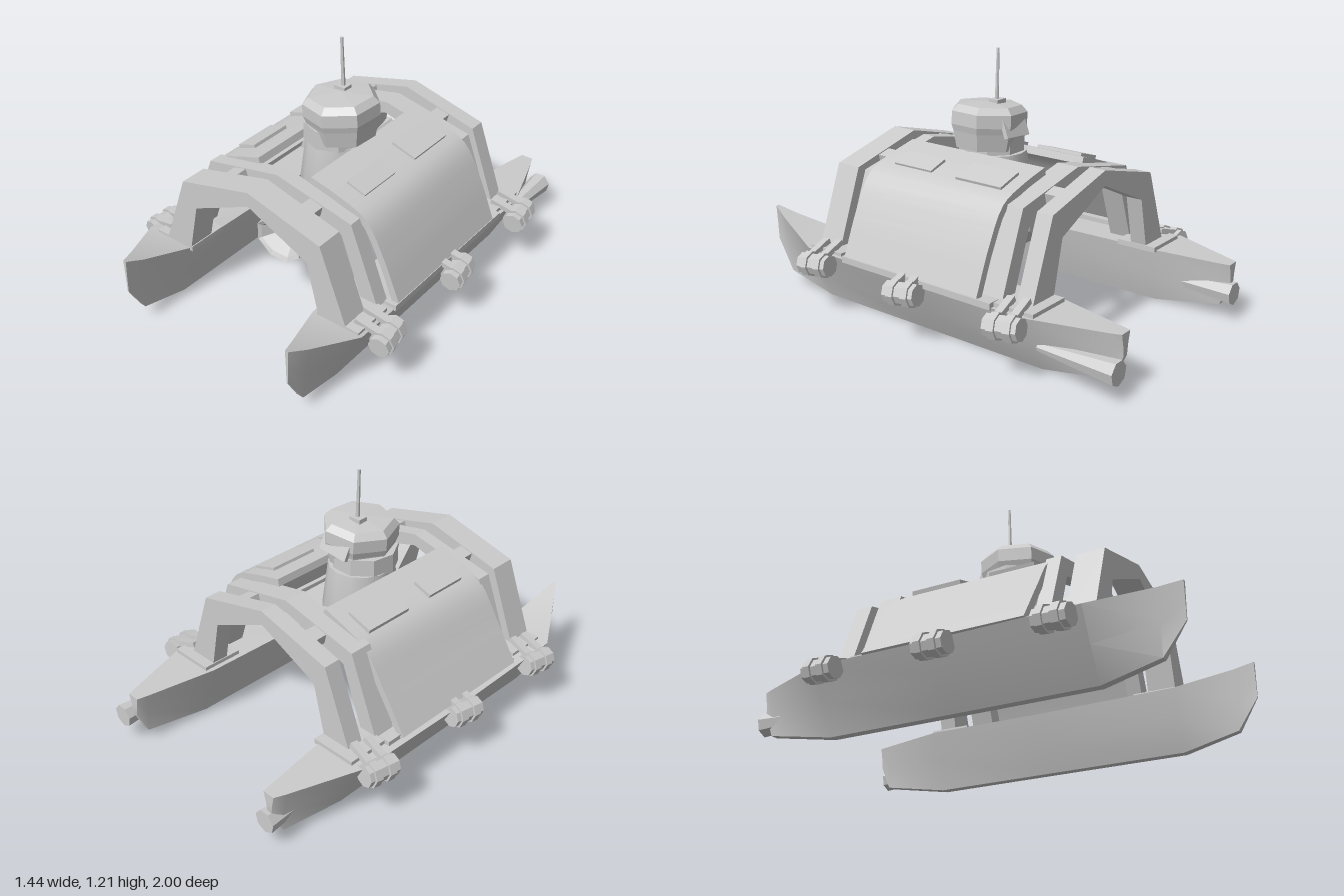
import * as THREE from 'three';
import { toCreasedNormals } from 'three/addons/utils/BufferGeometryUtils.js';

const flat = new THREE.MeshStandardMaterial({ color: 0xcccccc, flatShading: true, side: THREE.DoubleSide });
const smooth = new THREE.MeshStandardMaterial({ color: 0xcccccc, side: THREE.DoubleSide });

// Skin a list of equal-length rings, capping both ends
function loft(rings) {
  const pos = [];
  const tri = (...pts) => pts.forEach((p) => pos.push(...p));
  const centre = (ring) => [0, 1, 2].map((k) => ring.reduce((s, p) => s + p[k], 0) / ring.length);
  const n = rings[0].length, last = rings[rings.length - 1];
  for (let j = 0; j < n; j++) {
    const k = (j + 1) % n;
    for (let i = 0; i < rings.length - 1; i++) {
      const a = rings[i], b = rings[i + 1];
      tri(a[j], a[k], b[k]);
      tri(a[j], b[k], b[j]);
    }
    tri(centre(rings[0]), rings[0][k], rings[0][j]);
    tri(centre(last), last[j], last[k]);
  }
  const g = new THREE.BufferGeometry();
  g.setAttribute('position', new THREE.Float32BufferAttribute(pos, 3));
  g.computeVertexNormals();
  return g;
}

// Extrude an x/y outline between two z planes
function slab(points, z0, z1) {
  const shape = new THREE.Shape(points.map(([x, y]) => new THREE.Vector2(x, y)));
  return new THREE.ExtrudeGeometry(shape, { depth: z1 - z0, bevelEnabled: false }).translate(0, 0, z0);
}

function lathe(profile, segments) {
  return new THREE.LatheGeometry(profile.map(([r, y]) => new THREE.Vector2(r, y)), segments);
}

function add(parent, name, geometry, material = flat) {
  const mesh = new THREE.Mesh(geometry, material);
  mesh.name = name;
  parent.add(mesh);
  return mesh;
}

function box(parent, name, size, at, rotZ = 0) {
  const mesh = add(parent, name, new THREE.BoxGeometry(...size));
  mesh.position.set(...at);
  mesh.rotation.z = rotZ;
  return mesh;
}

// Slim V-shaped float with a raised bow and tapered stern
function hullGeometry(cx, keelX, bowX, sternX) {
  const stations = [ // z, half width, top, bottom, deck centre
    [-0.98, 0.03, 0.27, 0.17, sternX],
    [-0.93, 0.045, 0.27, 0.06, cx + (sternX - cx) * 0.85],
    [-0.6, 0.13, 0.275, 0, cx],
    [0, 0.135, 0.27, 0, cx],
    [0.66, 0.13, 0.28, 0, cx],
    [0.91, 0.042, 0.355, 0.07, cx + (bowX - cx) * 0.75],
    [1, 0.008, 0.39, 0.22, bowX],
  ];
  const rings = stations.map(([z, w, top, low, x]) => {
    const mid = (low + top) / 2, keel = Math.min(0.02, w * 0.4);
    const kx = THREE.MathUtils.lerp(x, keelX, w / 0.13), mx = (x + kx) / 2;
    return [
      [x + w, top, z], [x - w, top, z], [mx - w * 0.62, mid, z],
      [kx - keel, low, z], [kx + keel, low, z], [mx + w * 0.62, mid, z],
    ];
  });
  return toCreasedNormals(loft(rings), 0.5);
}

// Full-width arch from the outer and inner half outlines
function archGeometry(outer, inner, z0, z1) {
  const flip = ([x, y]) => [-x, y];
  return slab([...outer.slice(1).reverse().map(flip), ...outer, ...inner.slice(1).reverse(), ...inner.slice(0, 1), ...inner.slice(1).map(flip)], z0, z1);
}

// Curved shell that spans one side between the arches
function panelGeometry(profile) {
  const curve = new THREE.CatmullRomCurve3(profile.map(([x, y]) => new THREE.Vector3(x, y, 0)));
  const top = [], under = [];
  for (let i = 0; i <= 14; i++) {
    const p = curve.getPoint(i / 14), t = curve.getTangent(i / 14);
    top.push([p.x, p.y]);
    under.unshift([p.x + t.y * 0.035, p.y - t.x * 0.035]);
  }
  return toCreasedNormals(slab([...top, ...under], -0.36, 0.41), 0.6);
}

// Canister with band straps, held to the outside of a hull
function clamp(parent, side, z, armLength) {
  const g = new THREE.Group();
  g.name = 'sideClamp';
  const drum = (name, r, length, dz) => {
    const mesh = add(g, name, new THREE.CylinderGeometry(r, r, length, 8).rotateX(Math.PI / 2));
    mesh.position.z = dz;
  };
  drum('canister', 0.05, 0.16, 0);
  for (const dz of [-0.04, 0.035]) {
    drum('strap', 0.06, 0.035, dz);
    box(g, 'strapArm', [armLength, 0.025, 0.035], [-armLength / 2, 0.055, dz], -0.3);
  }
  g.position.set(side * 0.655, 0.24, z);
  g.rotation.set(0.08, side * 0.12, 0);
  g.scale.x = side;
  parent.add(g);
}

export function createModel() {
  const model = new THREE.Group();
  model.name = 'catamaran';

  // Hulls with stern thrusters
  for (const [name, cx, keelX, bowX, sternX] of [
    ['leftHull', 0.472, 0.452, 0.49, 0.45], ['rightHull', -0.51, -0.468, -0.43, -0.465],
  ]) {
    add(model, name, hullGeometry(cx, keelX, bowX, sternX), smooth);
    const tube = add(model, 'sternThruster', new THREE.CylinderGeometry(0.02, 0.055, 0.38, 7));
    tube.rotation.x = Math.PI / 2;
    tube.position.set(cx + 0.055, 0.13, -0.81);
  }

  // Arches: heavy outer pair, lighter inner pair
  const heavyOuter = [[0, 0.745], [0.385, 0.645], [0.525, 0.27]];
  const heavyInner = [[0, 0.675], [0.315, 0.53], [0.375, 0.27]];
  const lightOuter = [[0, 0.735], [0.4, 0.65], [0.545, 0.27]];
  const lightInner = [[0, 0.675], [0.35, 0.575], [0.46, 0.27]];
  add(model, 'frontArch', archGeometry(heavyOuter, heavyInner, 0.53, 0.66));
  add(model, 'rearArch', archGeometry(heavyOuter, heavyInner, -0.58, -0.5));
  add(model, 'frontInnerArch', archGeometry(lightOuter, lightInner, 0.4, 0.47));
  add(model, 'rearInnerArch', archGeometry(lightOuter, lightInner, -0.44, -0.33));

  // Shell profiles; the right one sits slightly lower
  const profiles = {
    1: [[0.14, 0.75], [0.3, 0.71], [0.43, 0.655], [0.525, 0.5], [0.61, 0.3]],
    [-1]: [[0.16, 0.73], [0.28, 0.69], [0.4, 0.635], [0.515, 0.47], [0.63, 0.29]],
  };
  for (const side of [1, -1]) {
    // Side shell with low hatches
    const half = new THREE.Group();
    half.name = side > 0 ? 'leftShell' : 'rightShell';
    half.scale.x = side;
    model.add(half);
    add(half, 'shell', panelGeometry(profiles[side]), smooth);
    const hatchY = side > 0 ? 0.712 : 0.69;
    box(half, 'rearHatch', [0.13, 0.02, 0.25], [0.3, hatchY, -0.17], -0.3);
    box(half, 'frontHatch', [0.1, 0.02, 0.22], [0.31, hatchY - 0.004, 0.21], -0.33);

    // Struts joining each pair of arches
    box(half, 'frontStrut', [0.07, 0.05, 0.16], [0.21, 0.66, 0.48], -0.25);
    box(half, 'rearStrut', [0.07, 0.05, 0.2], [0.21, 0.66, -0.44], -0.25);

    // Foot plates and deck rail
    for (const z of [0.56, -0.53]) box(half, 'footPlate', [0.22, 0.025, 0.2], [0.475, 0.28, z]);
    box(half, 'deckRail', [0.06, 0.03, 0.86], [0.58, 0.28, 0]);

    // Clamps along the hull
    for (const [z, arm] of [[0.55, 0.13], [0.01, 0.08], [-0.54, 0.13]]) clamp(model, side, z, arm);
  }

  // Pod slung under the arches, with a recessed nozzle at the front
  const oval = (z, w, low, high) => Array.from({ length: 8 }, (_, i) => {
    const a = (i + 0.5) * Math.PI / 4;
    return [w * Math.cos(a) / 0.924, (low + high) / 2 + (high - low) / 2 * Math.sin(a) / 0.924, z];
  });
  add(model, 'pod', loft([
    oval(-0.26, 0.11, 0.38, 0.54), oval(-0.15, 0.17, 0.31, 0.54), oval(0.2, 0.185, 0.285, 0.53),
    oval(0.32, 0.14, 0.285, 0.51), oval(0.48, 0.12, 0.29, 0.49), oval(0.47, 0.105, 0.31, 0.47), oval(0.38, 0.03, 0.37, 0.42),
  ]));

  // Barrel body
  const barrel = add(model, 'barrel', toCreasedNormals(
    lathe([[0.001, 0.4], [0.17, 0.42], [0.185, 0.51], [0.155, 0.74], [0.001, 0.74]], 14), 0.6), smooth);
  barrel.position.z = 0.03;

  // Faceted head, leaning so its top rises toward the left
  const neck = add(model, 'neck', lathe([[0.001, 0], [0.155, 0], [0.155, 0.09], [0.001, 0.09]], 9));
  neck.position.set(-0.005, 0.73, 0.045);
  const head = new THREE.Group();
  head.name = 'head';
  add(head, 'helmet', lathe([[0.001, -0.11], [0.15, -0.1], [0.168, -0.02], [0.178, 0.01], [0.178, 0.07], [0.15, 0.1], [0.001, 0.11]], 7)).rotation.y = 0.15;
  const crest = box(head, 'crest', [0.16, 0.1, 0.02], [0, 0.015, -0.15]);
  crest.rotation.x = 0.4;
  head.position.set(0.025, 0.855, 0.045);
  head.rotation.z = 0.07;
  model.add(head);

  // Antenna on a small base
  box(model, 'antennaBase', [0.06, 0.025, 0.05], [0, 0.965, 0.01]);
  const mast = add(model, 'antenna', new THREE.CylinderGeometry(0.007, 0.01, 0.25, 6));
  mast.position.set(0, 1.085, 0.01);
  mast.rotation.z = 0.04;

  return model;
}
